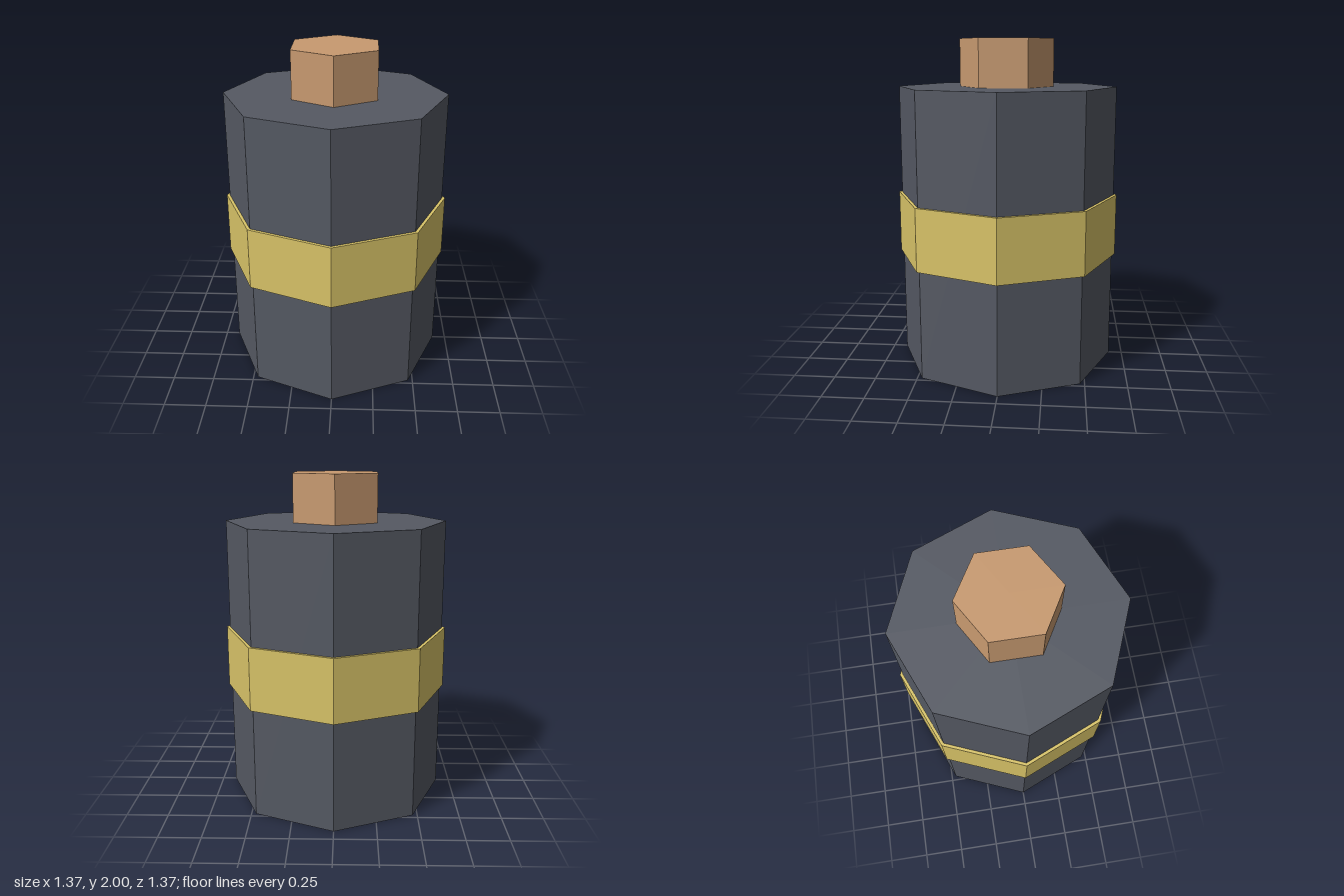
import * as THREE from 'three';

// Upright prism with a corner facing +z, spanning y0 to y1
function prism(name, radius, y0, y1, sides, color) {
  const geometry = new THREE.CylinderGeometry(radius, radius, y1 - y0, sides);
  const material = new THREE.MeshStandardMaterial({ color, flatShading: true });
  const mesh = new THREE.Mesh(geometry, material);
  mesh.name = name;
  mesh.position.y = (y0 + y1) / 2;
  return mesh;
}

export function createModel() {
  const model = new THREE.Group();
  model.name = 'battery';
  model.add(
    // Octagonal casing
    prism('body', 0.667, 0, 1.714, 8, 0x555963),
    // Slightly wider band around the middle
    prism('band', 0.686, 0.667, 1.048, 8, 0xd9c468),
    // Hexagonal contact on top
    prism('terminal', 0.286, 1.714, 2, 6, 0xc89a70),
  );
  return model;
}
